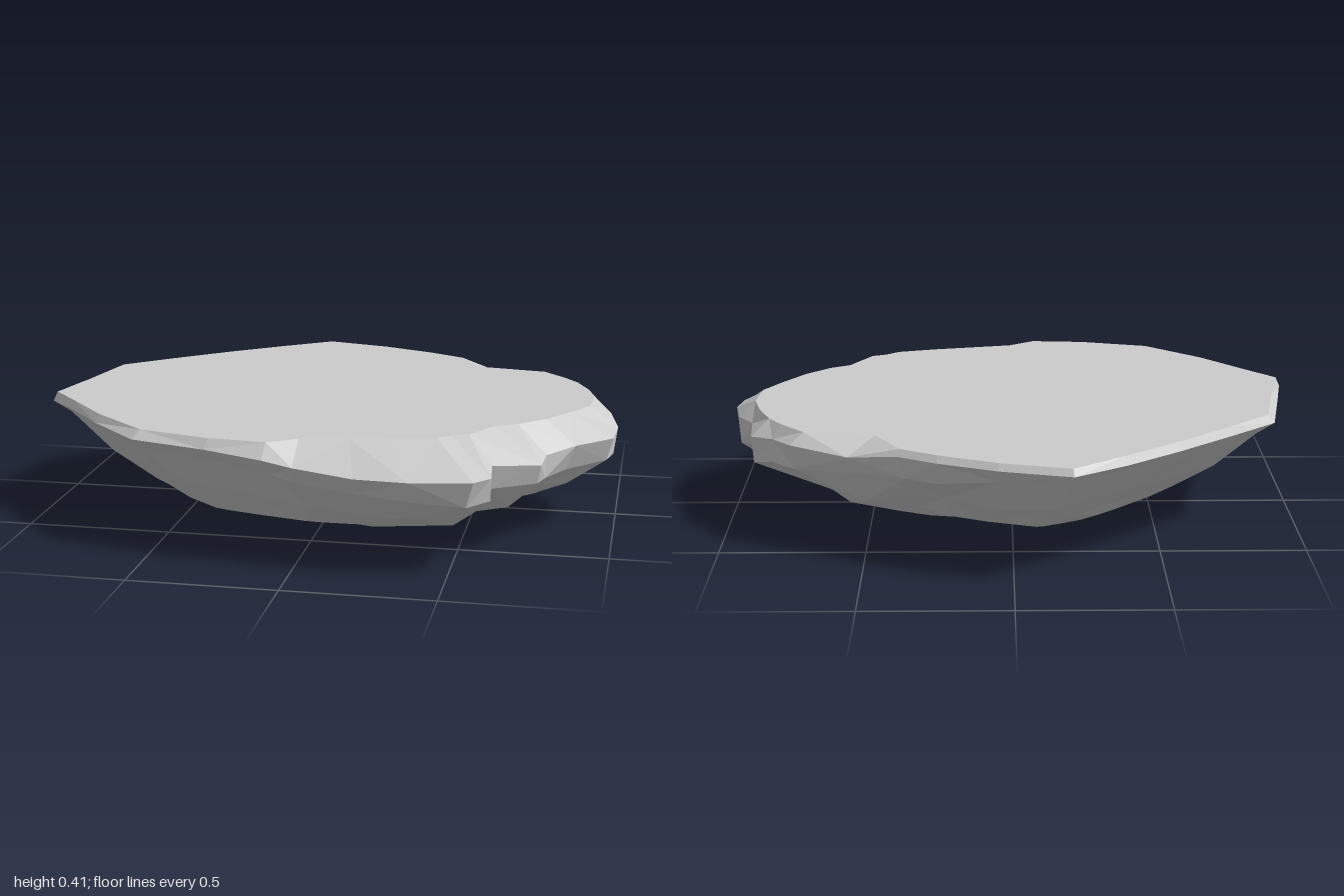
import * as THREE from 'three';

// Rim of the slab, clockwise from above: x, z, rim height, inset of the flat top
const RIM = [
  [-0.19, -0.84, 0.385, 0.02], [0.05, -0.78, 0.385, 0.02], [0.25, -0.70, 0.385, 0.02], [0.38, -0.63, 0.385, 0.02],
  [0.55, -0.56, 0.36, 0.16], [0.75, -0.46, 0.37, 0.06], [0.82, -0.36, 0.36, 0.04], [0.90, -0.30, 0.35, 0.07],
  [0.91, -0.18, 0.36, 0.03], [0.97, -0.07, 0.35, 0.06], [1.00, 0.08, 0.34, 0.10], [0.99, 0.20, 0.33, 0.15],
  [0.87, 0.32, 0.33, 0.12], [0.78, 0.42, 0.32, 0.13], [0.77, 0.51, 0.31, 0.21], [0.62, 0.62, 0.33, 0.14],
  [0.63, 0.73, 0.32, 0.24], [0.58, 0.79, 0.32, 0.25], [0.38, 0.83, 0.32, 0.24], [0.20, 0.82, 0.32, 0.20],
  [0.00, 0.80, 0.34, 0.14], [-0.10, 0.80, 0.36, 0.06], [-0.30, 0.76, 0.375, 0.03], [-0.56, 0.70, 0.38, 0.04],
  [-0.75, 0.51, 0.38, 0.02], [-0.90, 0.33, 0.38, 0.015], [-1.00, 0.22, 0.375, 0.015], [-0.96, 0.00, 0.38, 0.025],
  [-0.91, -0.26, 0.38, 0.025], [-0.75, -0.40, 0.38, 0.02], [-0.55, -0.57, 0.38, 0.02], [-0.37, -0.71, 0.38, 0.02],
];

function seeded(seed) {
  return () => {
    seed = (seed * 16807) % 2147483647;
    return seed / 2147483647 - 0.5;
  };
}

export function createModel() {
  const rand = seeded(4711);
  const n = RIM.length;
  const lerp = THREE.MathUtils.lerp;
  const positions = [];
  const index = [];

  // Rings from the flat top down to the underside
  const roughAt = (x) => THREE.MathUtils.smoothstep(x, -0.4, 0.6);
  const low = ([x, z]) => [0.05 + x * 0.675, 0.1, 0.05 + z * 0.655];
  const belt = ([x, z, y]) => {
    const r = roughAt(x);
    return [x * lerp(0.94, 0.98, r), y - lerp(0.045, 0.08, r), z * lerp(0.94, 0.98, r)];
  };
  const mid = (p) => {
    const a = belt(p), b = low(p);
    return a.map((v, k) => lerp(v, b[k], 0.5) - (k === 1 ? 0.01 : 0));
  };
  const rings = [
    { at: ([x, z, , inset]) => [x * (1 - inset), 0.408, z * (1 - inset)], jitter: 0 },
    { at: ([x, z, y]) => [x, y, z], jitter: 0 },
    { at: belt, jitter: 0.035 },
    { at: mid, jitter: 0.04 },
    { at: low, jitter: 0.035 },
    { at: ([x, z]) => [x * 0.54, 0.06, 0.02 + z * 0.52], jitter: 0.04 },
    { at: ([x, z]) => [-0.04 + x * 0.36, 0.022 + 0.03 * x, z * 0.36], jitter: 0.025 },
    { at: ([x, z]) => [-0.03 + x * 0.17, 0.03 + 0.03 * x, z * 0.17], jitter: 0.02 },
  ];
  for (const { at, jitter } of rings) {
    for (const p of RIM) {
      const amount = jitter * lerp(0.45, 1, roughAt(p[0]));
      const [x, y, z] = at(p);
      positions.push(x + rand() * amount, Math.max(0, y + rand() * amount), z + rand() * amount);
    }
  }

  // Sides between neighbouring rings, with alternating diagonals
  for (let r = 0; r < rings.length - 1; r++) {
    for (let i = 0; i < n; i++) {
      const j = (i + 1) % n;
      const a = r * n + i, b = r * n + j, c = a + n, d = b + n;
      if ((i + r) % 2) index.push(a, b, d, a, d, c);
      else index.push(a, b, c, b, d, c);
    }
  }

  // Flat top and underside
  const top = rings.length * n, bottom = top + 1, last = (rings.length - 1) * n;
  positions.push(0, 0.41, 0, -0.03, 0.035, 0);
  for (let i = 0; i < n; i++) {
    const j = (i + 1) % n;
    index.push(top, j, i, bottom, last + i, last + j);
  }

  const indexed = new THREE.BufferGeometry();
  indexed.setAttribute('position', new THREE.Float32BufferAttribute(positions, 3));
  indexed.setIndex(index);
  const geometry = indexed.toNonIndexed();
  geometry.computeVertexNormals();

  const slab = new THREE.Mesh(geometry, new THREE.MeshStandardMaterial({ color: 0xcccccc, flatShading: true }));
  slab.name = 'rockSlab';
  const group = new THREE.Group();
  group.name = 'flatToppedRock';
  group.add(slab);
  return group;
}
